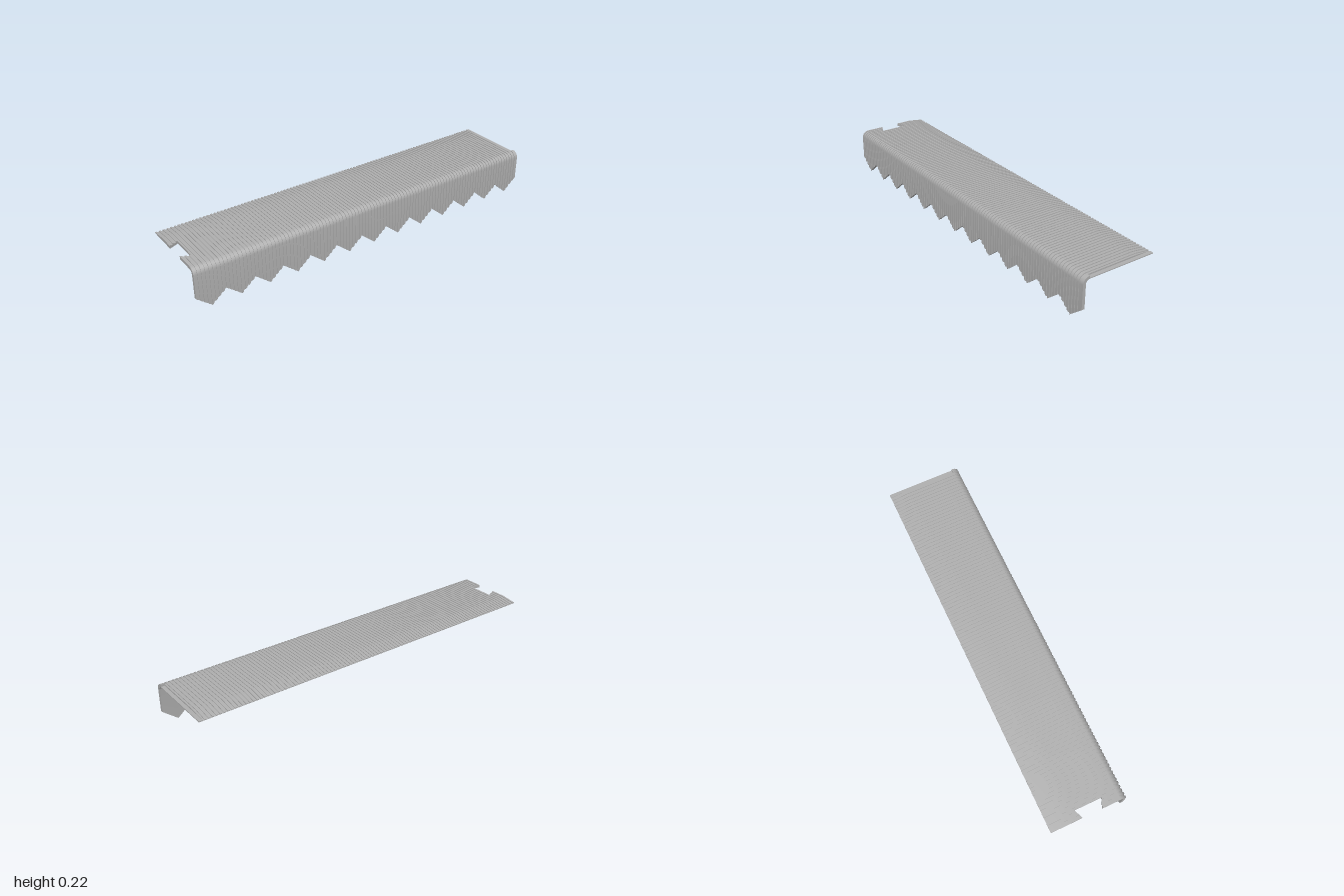
import * as THREE from 'three';
import { toCreasedNormals } from 'three/addons/utils/BufferGeometryUtils.js';

const COLUMNS = 208;              // alternating ribs and grooves along x
const TEETH = 13;
const GROOVE = 0.004;
const NOTCH_COLUMNS = 5;          // dovetail notch at the -x end
const STEP_COLUMNS = 2;           // lowered lap at the +x end
const ARC_STEPS = 6;
const NOTCH_FROM = ARC_STEPS + 3; // station numbers of the notch edges
const NOTCH_TO = NOTCH_FROM + 1;

const xAt = (i) => -1 + (2 * i) / COLUMNS;

// Zigzag lower edge
function bottomAt(i) {
  const t = ((i * TEETH) / COLUMNS) % 1;
  return 0.064 * Math.abs(2 * t - 1);
}

// Cross-section as [z, y] stations, from the lower front edge to the back edge
function section(i, depth, inner, lowered) {
  const radius = inner ? 0.02 : 0.036 - depth;
  const points = [[0.167 + radius, bottomAt(i)]];
  for (let k = 0; k <= ARC_STEPS; k++) {
    const a = (k / ARC_STEPS) * Math.PI / 2;
    points.push([0.167 + radius * Math.cos(a), 0.189 + radius * Math.sin(a)]);
  }
  const t = Math.min(i / NOTCH_COLUMNS, 1);
  for (const z of [0.167, 0.07 + 0.02 * t, -0.035 - 0.02 * t, -0.12, -0.202]) {
    const slope = z < -0.12 ? 0.011 : 0;
    let y = inner ? 0.209 : 0.225 - depth - slope;
    if (lowered && !inner) y = Math.min(y, 0.214);
    points.push([z, y]);
  }
  return points;
}

function stripGeometry() {
  const positions = [];
  const quad = (a, b, c, d) => {
    for (const tri of [[a, b, c], [a, c, d]]) {
      const [p, q, r] = tri.map((v) => new THREE.Vector3(...v));
      if (q.clone().sub(p).cross(r.clone().sub(p)).length() < 1e-9) continue;
      for (const v of tri) positions.push(...v);
    }
  };
  const at = (i, p) => [xAt(i), p[1], p[0]];

  // Wall at one x between two sections; it faces the lower one
  const wall = (i, left, right) => {
    for (let k = 0; k < left.length - 1; k++) {
      quad(at(i, left[k]), at(i, right[k]), at(i, right[k + 1]), at(i, left[k + 1]));
    }
  };

  const isNotch = (c) => c < NOTCH_COLUMNS;
  const outer = (c, i) => {
    const lowered = c >= COLUMNS - STEP_COLUMNS;
    return section(i, lowered || c % 2 === 0 ? 0 : GROOVE, false, lowered);
  };
  const inner = (i) => section(i, 0, true, false);

  for (let c = 0; c < COLUMNS; c++) {
    const j = c + 1;
    const o0 = outer(c, c), o1 = outer(c, j);
    const n0 = inner(c), n1 = inner(j);
    const last = o0.length - 1;
    const faceForward = (k) => quad(at(c, n0[k]), at(j, n1[k]), at(j, o1[k]), at(c, o0[k]));
    const faceBack = (k) => quad(at(c, o0[k]), at(j, o1[k]), at(j, n1[k]), at(c, n0[k]));

    // Outer and inner skins
    for (let k = 0; k < last; k++) {
      if (isNotch(c) && k === NOTCH_FROM) continue;
      quad(at(c, o0[k]), at(j, o1[k]), at(j, o1[k + 1]), at(c, o0[k + 1]));
      quad(at(c, n0[k + 1]), at(j, n1[k + 1]), at(j, n1[k]), at(c, n0[k]));
    }
    // Toothed edge, back edge and notch sides
    faceForward(0);
    faceBack(last);
    if (isNotch(c)) {
      faceBack(NOTCH_FROM);
      faceForward(NOTCH_TO);
    }
  }

  // End caps, rib walls and the notch's inner wall
  for (let i = 0; i <= COLUMNS; i++) {
    const left = i === 0 ? inner(i) : outer(i - 1, i);
    const right = i === COLUMNS ? inner(i) : outer(i, i);
    if (i > NOTCH_COLUMNS) {
      wall(i, left, right);
      continue;
    }
    wall(i, left.slice(0, NOTCH_FROM + 1), right.slice(0, NOTCH_FROM + 1));
    wall(i, left.slice(NOTCH_TO), right.slice(NOTCH_TO));
    if (i === NOTCH_COLUMNS) {
      wall(i, inner(i).slice(NOTCH_FROM, NOTCH_TO + 1), right.slice(NOTCH_FROM, NOTCH_TO + 1));
    }
  }

  const geometry = new THREE.BufferGeometry();
  geometry.setAttribute('position', new THREE.Float32BufferAttribute(positions, 3));
  return toCreasedNormals(geometry, 0.5);
}

export function createModel() {
  const grey = new THREE.MeshStandardMaterial({ color: 0xb0b0b0 });
  grey.name = 'plain grey';
  const strip = new THREE.Mesh(stripGeometry(), grey);
  strip.name = 'ribbedEdgeStrip';
  const model = new THREE.Group();
  model.name = 'toothedEdgeTrim';
  model.add(strip);
  return model;
}
